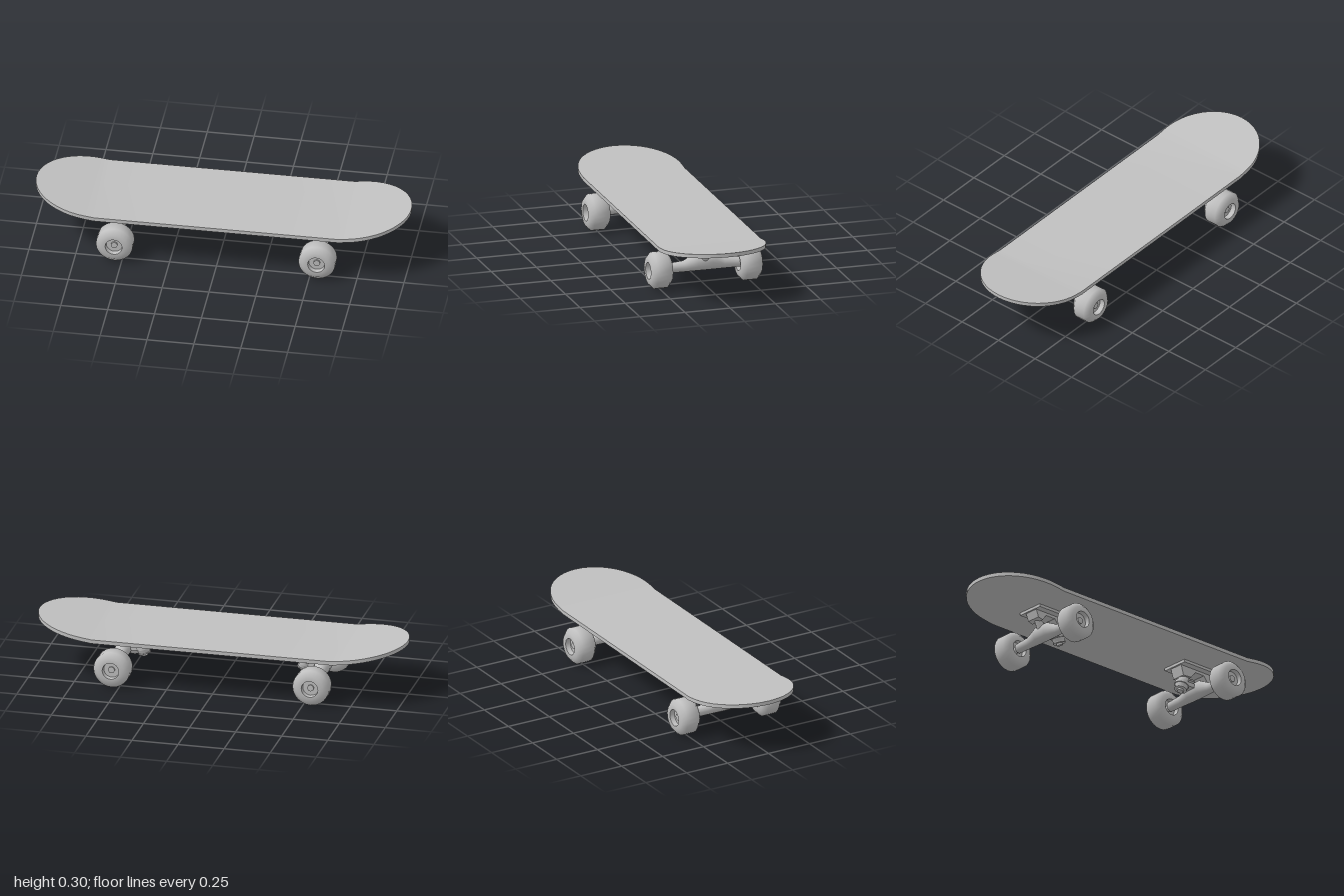
import * as THREE from 'three';
import { toCreasedNormals } from 'three/addons/utils/BufferGeometryUtils.js';

const grey = new THREE.MeshStandardMaterial({ color: 0xc0c0c0 });
grey.name = 'plain grey';

function add(parent, name, geometry, x = 0, y = 0, z = 0) {
  const mesh = new THREE.Mesh(geometry, grey);
  mesh.name = name;
  mesh.position.set(x, y, z);
  parent.add(mesh);
  return mesh;
}

// Skin a list of equal-length cross-sections and cap both ends.
function loft(rings, crease) {
  const n = rings[0].length, index = [];
  for (let r = 0; r < rings.length - 1; r++) {
    for (let i = 0; i < n; i++) {
      const a = r * n + i, b = r * n + (i + 1) % n;
      index.push(a, b, b + n, a, b + n, a + n);
    }
  }
  const last = (rings.length - 1) * n;
  for (let i = 1; i < n - 1; i++) {
    index.push(0, i + 1, i, last, last + i, last + i + 1);
  }
  const geometry = new THREE.BufferGeometry();
  geometry.setAttribute('position', new THREE.Float32BufferAttribute(rings.flat(2), 3));
  geometry.setIndex(index);
  return toCreasedNormals(geometry, crease);
}

// Flat board with elliptical ends that kick upwards.
function deckGeometry() {
  const half = [[0, 0.28], [0.325, 0.28], [0.65, 0.28]];
  for (let i = 0; i <= 12; i++) {
    const a = (i / 12) * Math.PI / 2;
    half.push([0.7 + 0.3 * Math.sin(a), 0.28 * Math.cos(a)]);
  }
  const columns = [...half.slice(1).reverse().map(([x, w]) => [-x, w]), ...half];
  return loft(columns.map(([x, w]) => {
    const y = 0.235 + 0.046 * Math.max(0, (Math.abs(x) - 0.65) / 0.35);
    const t = y + 0.021;
    return [[x, t, -w], [x, t, w], [x, y, w], [x, y, -w]];
  }), 0.4);
}

// Axle housing, swelling towards the middle.
function hangerGeometry() {
  const half = [[0, 0.17, 0.042], [0.04, 0.17, 0.042], [0.065, 0.157, 0.036],
    [0.11, 0.135, 0.029], [0.2, 0.127, 0.026]];
  const sections = [...half.slice(1).reverse().map(([z, t, w]) => [-z, t, w]), ...half];
  return loft(sections.map(([z, top, w]) => {
    const mid = (top + 0.075) / 2, h = (top - 0.075) / 2;
    return Array.from({ length: 16 }, (_, i) => {
      const a = (i / 16) * Math.PI * 2;
      return [w * Math.cos(a), mid + h * Math.sin(a), z];
    });
  }), 0.8);
}

// Wheel turned around its axle, with a recessed hub on both faces.
function wheelGeometry() {
  const profile = [[0, -0.03], [0.043, -0.03], [0.045, -0.0575], [0.073, -0.0575],
    [0.098, -0.034], [0.098, 0.034], [0.073, 0.0575], [0.045, 0.0575], [0.043, 0.03], [0, 0.03]];
  const geometry = new THREE.LatheGeometry(profile.map(([r, y]) => new THREE.Vector2(r, y)), 24);
  return toCreasedNormals(geometry.rotateX(Math.PI / 2), 0.9);
}

// Bracket under the base plate, seen from the side; +x points to the board's end.
function bracketGeometry() {
  const outline = [[0.095, 0.23], [0.075, 0.18], [0.045, 0.172], [0.02, 0.205],
    [-0.04, 0.205], [-0.07, 0.168], [-0.125, 0.165], [-0.145, 0.23]];
  const shape = new THREE.Shape(outline.map(([x, y]) => new THREE.Vector2(x, y)));
  return new THREE.ExtrudeGeometry(shape, { depth: 0.08, bevelEnabled: false }).translate(0, 0, -0.04);
}

function createTruck() {
  const truck = new THREE.Group();
  truck.name = 'truck';
  add(truck, 'basePlate', new THREE.BoxGeometry(0.252, 0.016, 0.156), 0.514, 0.228);
  add(truck, 'bracket', bracketGeometry(), 0.54);
  add(truck, 'hanger', hangerGeometry(), 0.54);

  // Pivot nose pointing up and outwards into the bracket.
  const pivot = add(truck, 'pivot', new THREE.CylinderGeometry(0.015, 0.032, 0.09, 12), 0.565, 0.155);
  pivot.rotation.z = -0.65;

  // Yoke joining the hanger to the kingpin.
  add(truck, 'yoke', new THREE.BoxGeometry(0.08, 0.024, 0.064), 0.49, 0.13);

  // Kingpin stack, tilted towards the middle of the board.
  const stack = new THREE.Group();
  stack.name = 'kingpinStack';
  stack.position.set(0.44, 0.13, 0);
  stack.rotation.z = -0.3;
  truck.add(stack);
  const discs = [['upperBushing', 0.03, 0.036, 0.028, 0.026], ['yokeRing', 0.04, 0.04, 0.018, 0.002],
    ['lowerBushing', 0.036, 0.03, 0.02, -0.018], ['washer', 0.034, 0.034, 0.006, -0.031]];
  for (const [name, top, bottom, height, y] of discs) {
    add(stack, name, new THREE.CylinderGeometry(top, bottom, height, 20), 0, y);
  }
  add(stack, 'kingpinNut', new THREE.CylinderGeometry(0.018, 0.018, 0.014, 6), 0, -0.039);

  // Axle and wheels.
  const axle = add(truck, 'axle', new THREE.CylinderGeometry(0.018, 0.018, 0.572, 8), 0.54, 0.098);
  axle.rotation.x = Math.PI / 2;
  for (const side of [-1, 1]) {
    add(truck, 'wheel', wheelGeometry(), 0.54, 0.098, side * 0.2475);
  }
  return truck;
}

export function createModel() {
  const model = new THREE.Group();
  model.name = 'skateboard';
  add(model, 'deck', deckGeometry());
  for (const turn of [0, Math.PI]) {
    const truck = createTruck();
    truck.rotation.y = turn;
    model.add(truck);
  }
  return model;
}
